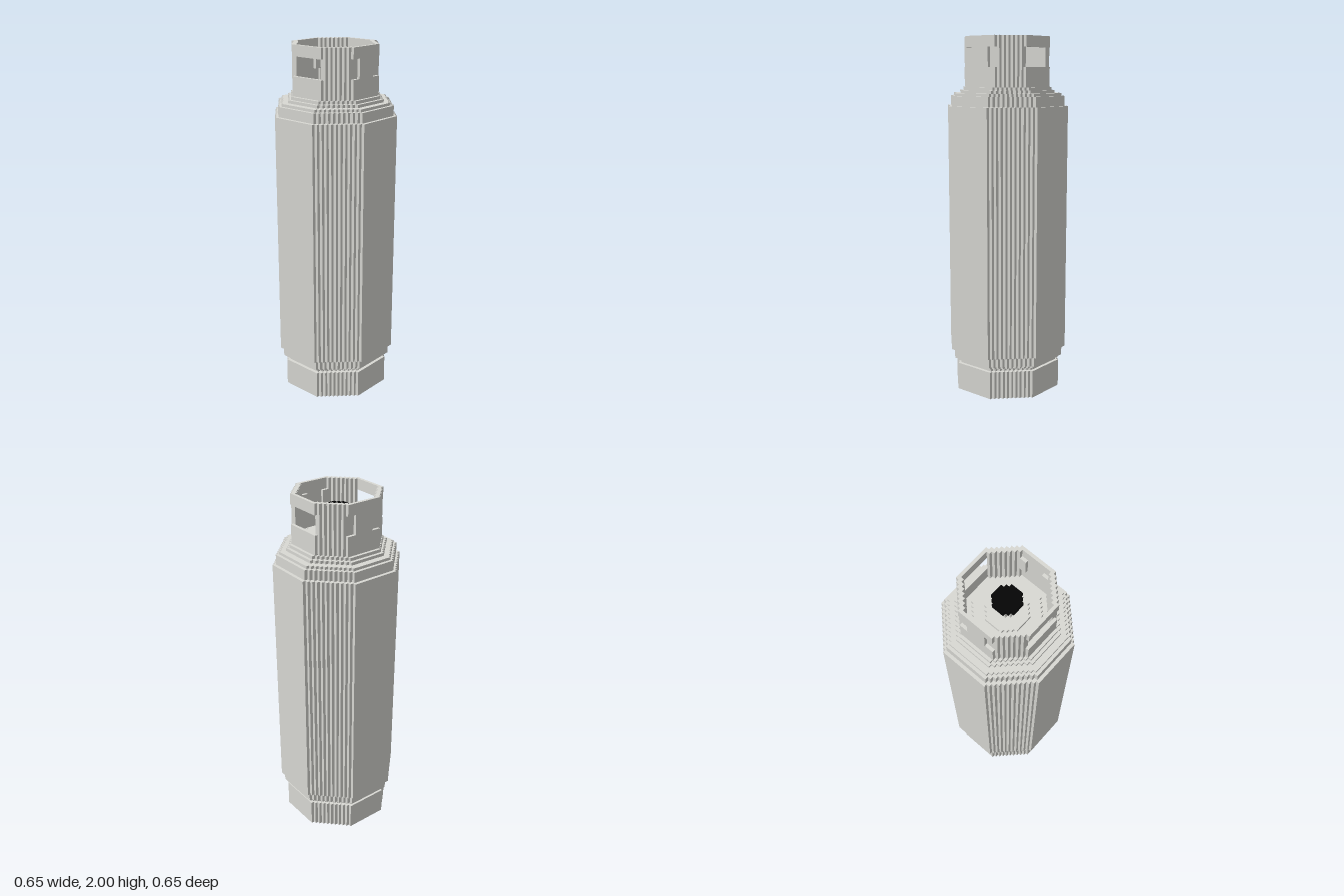
import * as THREE from 'three';

const STEP = 0.0175;

// Corner of a blocky octagon, from the flat +y side round to the flat +x side
function stairs(a, f) {
  const n = Math.max(1, Math.round((a - f) / STEP));
  const s = (a - f) / n;
  const pts = [];
  for (let i = 0; i < n; i++) {
    pts.push([f + i * s, a - i * s], [f + i * s, a - (i + 1) * s]);
  }
  pts.push([a, f]);
  return pts;
}

const flipY = (pts) => pts.map(([x, y]) => [x, -y]);
const flipX = (pts) => pts.map(([x, y]) => [-x, y]);
const vectors = (pts) => pts.map(([x, y]) => new THREE.Vector2(x, y));

// Counter-clockwise stepped octagon: a = half width, f = half length of a flat side
function octagon(a, f = a * 0.42) {
  const right = stairs(a, f);
  const half = [...right, ...flipY(right).reverse()];
  return vectors([...half, ...flipX(half).reverse()].reverse());
}

// Extrude an outline upward between two heights
function prism(outline, y0, y1, hole) {
  const shape = new THREE.Shape(outline);
  if (hole) shape.holes.push(new THREE.Path(hole));
  const geo = new THREE.ExtrudeGeometry(shape, { depth: y1 - y0, bevelEnabled: false });
  geo.rotateX(-Math.PI / 2);
  geo.translate(0, y0, 0);
  return geo;
}

export function createModel() {
  const metal = new THREE.MeshStandardMaterial({ color: 0xd9d9d4 });
  metal.name = 'light grey metal';
  const black = new THREE.MeshStandardMaterial({ color: 0x050505 });
  black.name = 'black plastic';

  const model = new THREE.Group();
  model.name = 'gasCylinder';
  const addGroup = (name) => {
    const group = new THREE.Group();
    group.name = name;
    model.add(group);
    return group;
  };
  const add = (parent, name, geo, mat = metal) => {
    const mesh = new THREE.Mesh(geo, mat);
    mesh.name = name;
    parent.add(mesh);
    return mesh;
  };

  // Tank: stacked layers [half width, bottom, top], domed at both ends
  const tank = addGroup('tank');
  const layers = [
    [0.103, 0.105, 0.123], [0.172, 0.123, 0.14], [0.238, 0.14, 0.157],
    [0.272, 0.157, 0.175], [0.29, 0.175, 0.19], [0.307, 0.19, 0.245],
    [0.325, 0.245, 1.625],
    [0.307, 1.625, 1.68], [0.29, 1.68, 1.695], [0.255, 1.695, 1.711],
    [0.238, 1.711, 1.728], [0.205, 1.728, 1.745], [0.172, 1.745, 1.762],
  ];
  layers.forEach(([a, y0, y1]) => add(tank, 'tankLayer', prism(octagon(a), y0, y1)));

  // Hollow foot ring
  add(model, 'footRing', prism(octagon(0.29), 0, 0.157, octagon(0.272)));

  // Collar: lower and upper bands with open front and back between them
  const collar = addGroup('collar');
  const outer = [0.222, 0.104], inner = [0.205, 0.087];
  add(collar, 'collarLowerBand', prism(octagon(...outer), 1.728, 1.835, octagon(...inner)));
  add(collar, 'collarUpperBand', prism(octagon(...outer), 1.94, 2, octagon(...inner)));

  // Side posts, with a raised centre strip between two shallow recesses
  const outside = [[0.087, 0.2051], ...stairs(...outer).slice(1, -1), [0.2051, 0.055], [0.222, 0.055]];
  const inside = [...stairs(...inner).slice(1, -1), [0.1881, 0.05], [0.205, 0.05]];
  const post = [
    ...outside, ...flipY(outside).reverse(),
    ...flipY(inside), ...[...inside].reverse(),
  ];
  [post, flipX(post)].forEach((pts) =>
    add(collar, 'collarSidePost', prism(vectors(pts), 1.835, 1.94)));

  // Valve with side outlet and hand wheel
  const valve = addGroup('valve');
  add(valve, 'valveFlange', prism(octagon(0.103, 0.052), 1.762, 1.78));
  add(valve, 'valveStem', prism(octagon(0.035, 0.0175), 1.78, 1.887));
  const outlet = add(valve, 'valveOutlet', new THREE.BoxGeometry(0.085, 0.035, 0.035));
  outlet.position.set(0.0425, 1.83, 0);
  add(valve, 'handWheel', prism(octagon(0.07, 0.035), 1.887, 1.917), black);
  return model;
}
